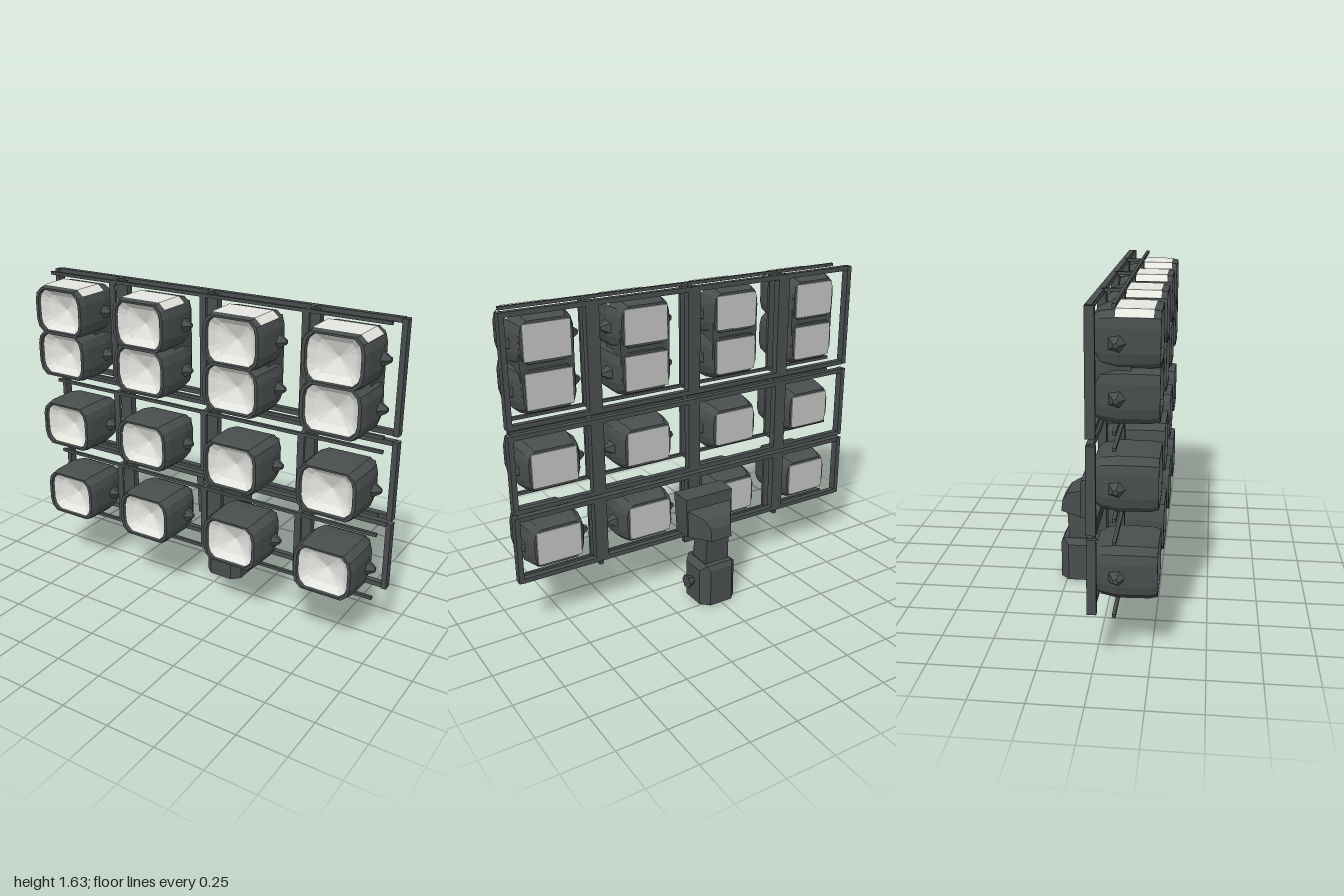
import * as THREE from 'three';
import { ConvexGeometry } from 'three/addons/geometries/ConvexGeometry.js';

const mat = (name, color) => {
  const m = new THREE.MeshStandardMaterial({ color, flatShading: true });
  m.name = name;
  return m;
};

// Faceted loft along z through twelve-sided sections [z, halfWidth, halfHeight],
// optionally covering only the sides first..last
const quarter = [[1, 0.42], [0.93, 0.76], [0.72, 1]];
const corners = [
  ...quarter,
  ...quarter.map(([x, y]) => [-x, y]).reverse(),
  ...quarter.map(([x, y]) => [-x, -y]),
  ...quarter.map(([x, y]) => [x, -y]).reverse(),
];
function loft(sections, first = 0, last = 11) {
  const pos = [];
  const at = ([z, w, h], i) => [corners[i % 12][0] * w, corners[i % 12][1] * h, z];
  for (let s = 0; s < sections.length - 1; s++) {
    const A = sections[s], B = sections[s + 1];
    for (let i = first; i <= last; i++) {
      if (A[1] > 0) pos.push(...at(A, i), ...at(A, i + 1), ...at(B, i + 1));
      if (B[1] > 0) pos.push(...at(A, i), ...at(B, i + 1), ...at(B, i));
    }
  }
  const g = new THREE.BufferGeometry();
  g.setAttribute('position', new THREE.Float32BufferAttribute(pos, 3));
  g.computeVertexNormals();
  return g;
}

export function createModel() {
  const metal = mat('darkMetal', 0x484d4d);
  const glass = mat('paleReflector', 0xe4e5df);
  const panel = mat('greyPanel', 0xc0c0be);
  const root = new THREE.Group();
  root.name = 'floodlightArray';

  const add = (parent, name, geo, m, x = 0, y = 0, z = 0) => {
    const mesh = new THREE.Mesh(geo, m);
    mesh.name = name;
    mesh.position.set(x, y, z);
    parent.add(mesh);
    return mesh;
  };
  const box = (parent, name, w, h, d, x, y, z, m = metal) =>
    add(parent, name, new THREE.BoxGeometry(w, h, d), m, x, y, z);

  // Lamp parts shared by every lamp
  const housingGeo = loft([[0, 0, 0], [0, 0.13, 0.1], [0.03, 0.146, 0.114], [0.1, 0.16, 0.125],
    [0.24, 0.156, 0.123], [0.278, 0.148, 0.117], [0.278, 0.132, 0.108], [0.262, 0.128, 0.105]]);
  const bowlGeo = loft([[0.264, 0.13, 0.107], [0.235, 0.095, 0.075], [0.205, 0, 0]]);
  // Thin pale cover over the top and its two bevels
  const windowGeo = loft([[0.09, 0.162, 0.127], [0.25, 0.157, 0.125]], 1, 3);
  const pivotGeo = new THREE.CylinderGeometry(0.012, 0.042, 0.045, 5);

  const columns = [-0.764, -0.262, 0.262, 0.773];
  const rows = [1.475, 1.245, 0.852, 0.441];
  rows.forEach((y, r) => columns.forEach((x) => {
    const lamp = new THREE.Group();
    lamp.name = 'lamp';
    lamp.position.set(x, y, 0);
    add(lamp, 'housing', housingGeo, metal);
    add(lamp, 'reflector', bowlGeo, glass);
    box(lamp, 'backPanel', 0.235, 0.175, 0.006, 0, 0, -0.003, panel);
    for (const s of [-1, 1]) {
      const pivot = add(lamp, 'pivot', pivotGeo, metal, s * 0.175, -0.01, 0.1);
      pivot.rotation.z = -s * Math.PI / 2;
    }
    if (r === 0) add(lamp, 'topWindow', windowGeo, glass);
    root.add(lamp);
  }));

  // Shared body joining each upper pair, kept behind the reflectors
  columns.forEach((x) => box(root, 'pairBody', 0.27, 0.3, 0.15, x, 1.36, 0.083));

  // Three open frames: [bottom, top] of the rear rails, then of the front rails
  const frames = [[1.095, 1.62, 1.1, 1.625], [0.67, 1.045, 0.715, 1.03], [0.3, 0.63, 0.268, 0.61]];
  frames.forEach(([lo, hi, frontLo, frontHi]) => {
    const frame = new THREE.Group();
    frame.name = 'frame';
    const mid = (lo + hi) / 2, tall = hi - lo;
    const frontMid = (frontLo + frontHi) / 2, frontTall = frontHi - frontLo;
    for (const y of [lo, hi]) box(frame, 'rearRail', 1.96, 0.024, 0.03, 0, y, -0.005);
    for (const y of [frontLo, frontHi]) {
      box(frame, 'frontRail', 1.92, 0.016, 0.016, 0, y, 0.093);
      for (const x of [-0.55, 0, 0.55]) box(frame, 'spacer', 0.022, 0.016, 0.1, x, y, 0.045);
    }
    for (const x of [-0.55, 0, 0.55]) {
      box(frame, 'rearDivider', 0.068, tall, 0.04, x, mid, 0);
      box(frame, 'frontDivider', 0.035, frontTall, 0.016, x, frontMid, 0.093);
    }
    for (const x of [-0.987, 0.987]) box(frame, 'sidePost', 0.026, tall + 0.02, 0.042, x, mid, 0);
    root.add(frame);
  });
  // Wider centre strut reaching down to the stand
  box(root, 'centreStrut', 0.11, 0.37, 0.03, 0, 0.43, 0.005);

  // Stand, made of mirrored convex blocks from [halfWidth, y, z] corners
  const stand = new THREE.Group();
  stand.name = 'stand';
  const block = (name, pts) => add(stand, name, new ConvexGeometry(
    pts.flatMap(([x, y, z]) => [new THREE.Vector3(x, y, z), new THREE.Vector3(-x, y, z)])), metal);
  block('mountPlate', [[0.145, 0.585, -0.055], [0.14, 0.58, -0.165], [0.135, 0.37, -0.06], [0.135, 0.37, -0.17]]);
  block('mountHood', [[0.135, 0.52, -0.16], [0.135, 0.37, -0.16], [0.08, 0.485, -0.245],
    [0.06, 0.44, -0.275], [0.06, 0.375, -0.283]]);
  block('neck', [[0.065, 0.4, -0.14], [0.065, 0.4, -0.25], [0.07, 0.21, -0.11], [0.07, 0.21, -0.24]]);
  block('base', [0, 0.2].flatMap((y) => [[0.065, y, -0.07], [0.107, y, -0.11], [0.107, y, -0.24], [0.065, y, -0.284]])
    .concat([[0.075, 0.228, -0.085], [0.075, 0.228, -0.27]]));
  const knob = add(stand, 'knob', new THREE.CylinderGeometry(0.04, 0.015, 0.05, 6), metal, 0.122, 0.115, -0.175);
  knob.rotation.z = -Math.PI / 2;
  root.add(stand);

  return root;
}
